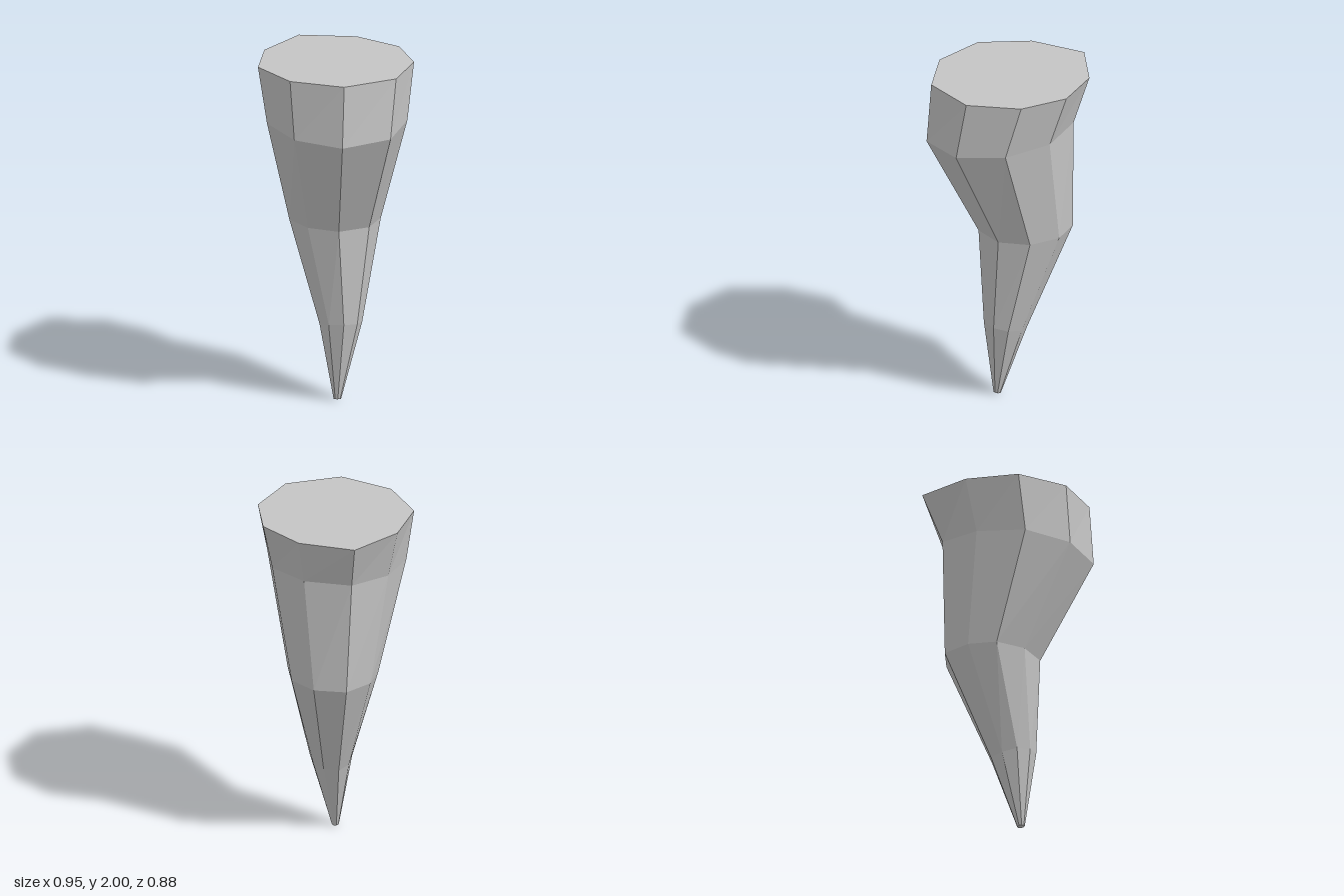
import * as THREE from 'three';

// Nine-sided cross-sections from top to tip, each corner as [x, y, z]
const tipRing = Array.from({ length: 9 }, (_, i) => {
  const a = (i - 2) * Math.PI * 2 / 9;
  return [0.054 + 0.022 * Math.cos(a), 0.004 + 0.004 * Math.cos(a - 0.7), 0.045 + 0.021 * Math.sin(a)];
});
const rings = [
  [[0.08, 2, -0.44], [0.33, 2, -0.297], [0.46, 2, -0.01], [0.347, 2, 0.3], [0.053, 2, 0.435],
    [-0.253, 2, 0.375], [-0.435, 2, 0.128], [-0.475, 2, -0.2], [-0.215, 2, -0.404]],
  [[0.115, 1.7, -0.35], [0.36, 1.68, -0.21], [0.473, 1.655, 0.05], [0.357, 1.64, 0.325], [0.085, 1.655, 0.434],
    [-0.192, 1.675, 0.365], [-0.35, 1.7, 0.125], [-0.37, 1.72, -0.145], [-0.165, 1.72, -0.33]],
  [[-0.03, 1.04, -0.32], [0.135, 1.04, -0.23], [0.204, 1.04, -0.06], [0.135, 1.04, 0.118], [-0.042, 1.04, 0.187],
    [-0.22, 1.04, 0.15], [-0.322, 1.04, 0.02], [-0.34, 1.04, -0.16], [-0.21, 1.04, -0.295]],
  [[0.045, 0.43, -0.115], [0.13, 0.45, -0.08], [0.165, 0.465, -0.003], [0.138, 0.472, 0.08], [0.058, 0.465, 0.12],
    [-0.028, 0.45, 0.105], [-0.085, 0.43, 0.04], [-0.098, 0.42, -0.04], [-0.035, 0.42, -0.1]],
  tipRing,
];

function makeMesh(name, points, material) {
  const geometry = new THREE.BufferGeometry();
  geometry.setAttribute('position', new THREE.Float32BufferAttribute(points.flat(), 3));
  geometry.computeVertexNormals(); // unshared corners give flat facets
  const mesh = new THREE.Mesh(geometry, material);
  mesh.name = name;
  return mesh;
}

// Flat fan closing a ring
function cap(ring, up) {
  const points = [];
  for (let i = 1; i < ring.length - 1; i++) {
    points.push(ring[0], ...(up ? [ring[i + 1], ring[i]] : [ring[i], ring[i + 1]]));
  }
  return points;
}

export function createModel() {
  const stone = new THREE.MeshStandardMaterial({ color: 0xc4c4c4 });
  stone.name = 'grey stone';
  const group = new THREE.Group();
  group.name = 'stalactite';

  // Faceted bands joining neighbouring cross-sections
  const names = ['rootBand', 'shoulderBand', 'lowerBand', 'tipBand'];
  names.forEach((name, r) => {
    const points = [];
    const top = rings[r], low = rings[r + 1];
    for (let i = 0; i < 9; i++) {
      const j = (i + 1) % 9;
      points.push(top[i], top[j], low[j], top[i], low[j], low[i]);
    }
    group.add(makeMesh(name, points, stone));
  });

  // Flat root on top and the blunt tip underneath
  group.add(makeMesh('rootCap', cap(rings[0], true), stone));
  group.add(makeMesh('tipCap', cap(tipRing, false), stone));
  return group;
}
